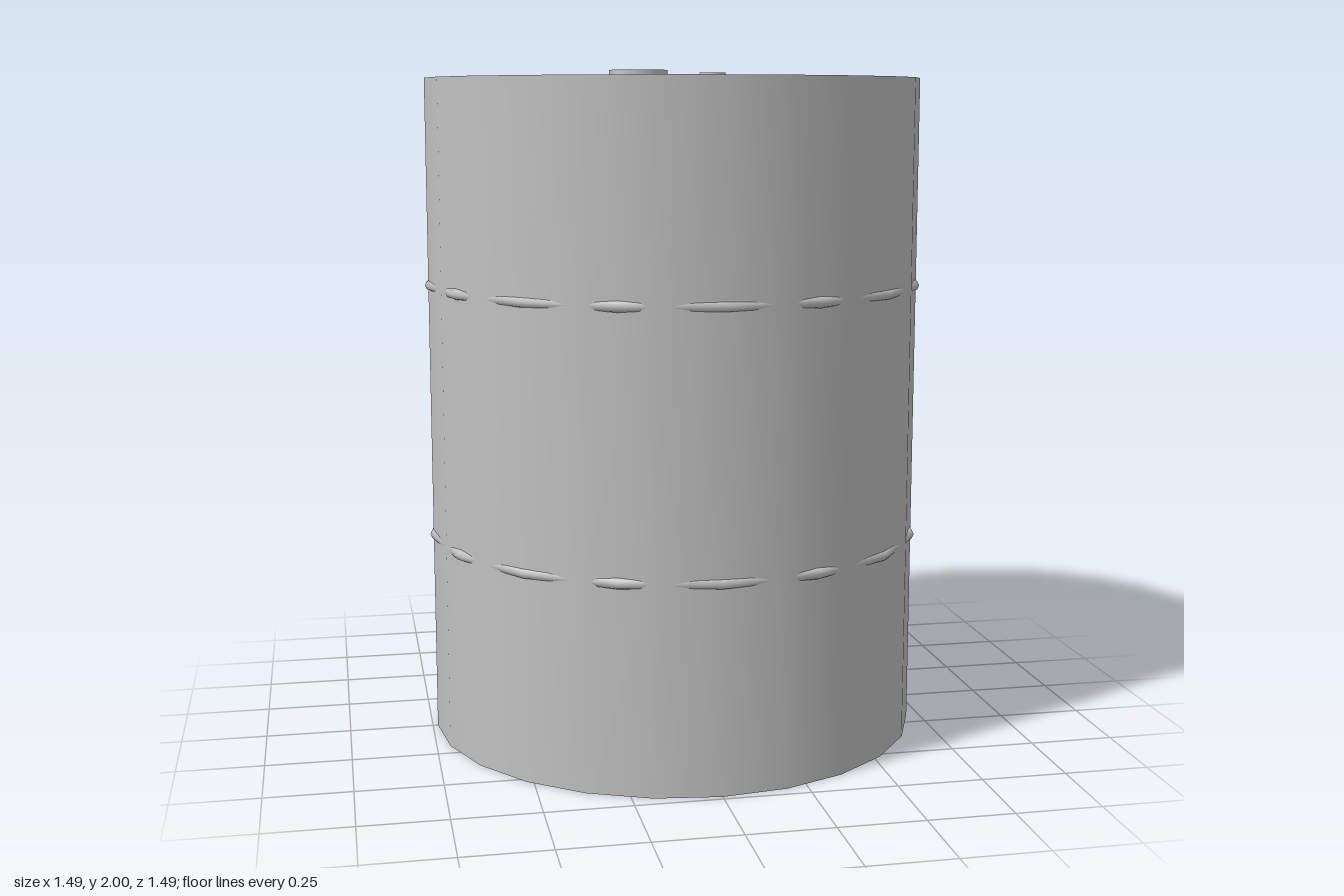
import * as THREE from 'three';
import { toCreasedNormals } from 'three/addons/utils/BufferGeometryUtils.js';

const steel = new THREE.MeshStandardMaterial({ color: 0xc0c0c0 });
steel.name = 'steel grey';

// Turned part: profile of [radius, height] points, with crisp edges
function turned(name, profile, sides, z = 0) {
  const points = profile.map(([r, y]) => new THREE.Vector2(r, y));
  const geometry = toCreasedNormals(new THREE.LatheGeometry(points, sides), 0.6);
  const mesh = new THREE.Mesh(geometry, steel);
  mesh.name = name;
  mesh.position.z = z;
  return mesh;
}

export function createModel() {
  const group = new THREE.Group();
  group.name = 'drum';

  const R = 0.735, inner = 0.72, top = 1.965, lid = 1.945;

  // Shell with sunken base and lid
  group.add(turned('drumBody', [
    [0, 0.015], [inner, 0.015], [inner, 0], [R, 0],
    [R, top], [inner, top], [inner, lid], [0, lid],
  ], 24));

  // Two rolling hoops, coarser than the shell so they surface in places
  for (const [name, y] of [['upperHoop', 1.36], ['lowerHoop', 0.605]]) {
    const hoop = new THREE.Mesh(new THREE.TorusGeometry(0.729, 0.016, 8, 16), steel);
    hoop.name = name;
    hoop.rotation.x = Math.PI / 2;
    hoop.position.y = y;
    group.add(hoop);
  }

  // Large filler bung: flared flange, neck and collar with a recess
  group.add(turned('fillerBung', [
    [0.114, lid], [0.09, 1.962], [0.085, 1.972], [0.098, 1.976],
    [0.098, 2], [0.062, 2], [0.058, 1.985], [0, 1.985],
  ], 16, -0.58));

  // Small vent plug near the front
  group.add(turned('ventPlug', [
    [0.034, lid], [0.038, 1.955], [0.036, 1.972], [0.03, 1.972], [0.028, 1.962], [0, 1.962],
  ], 12, 0.565));

  return group;
}
